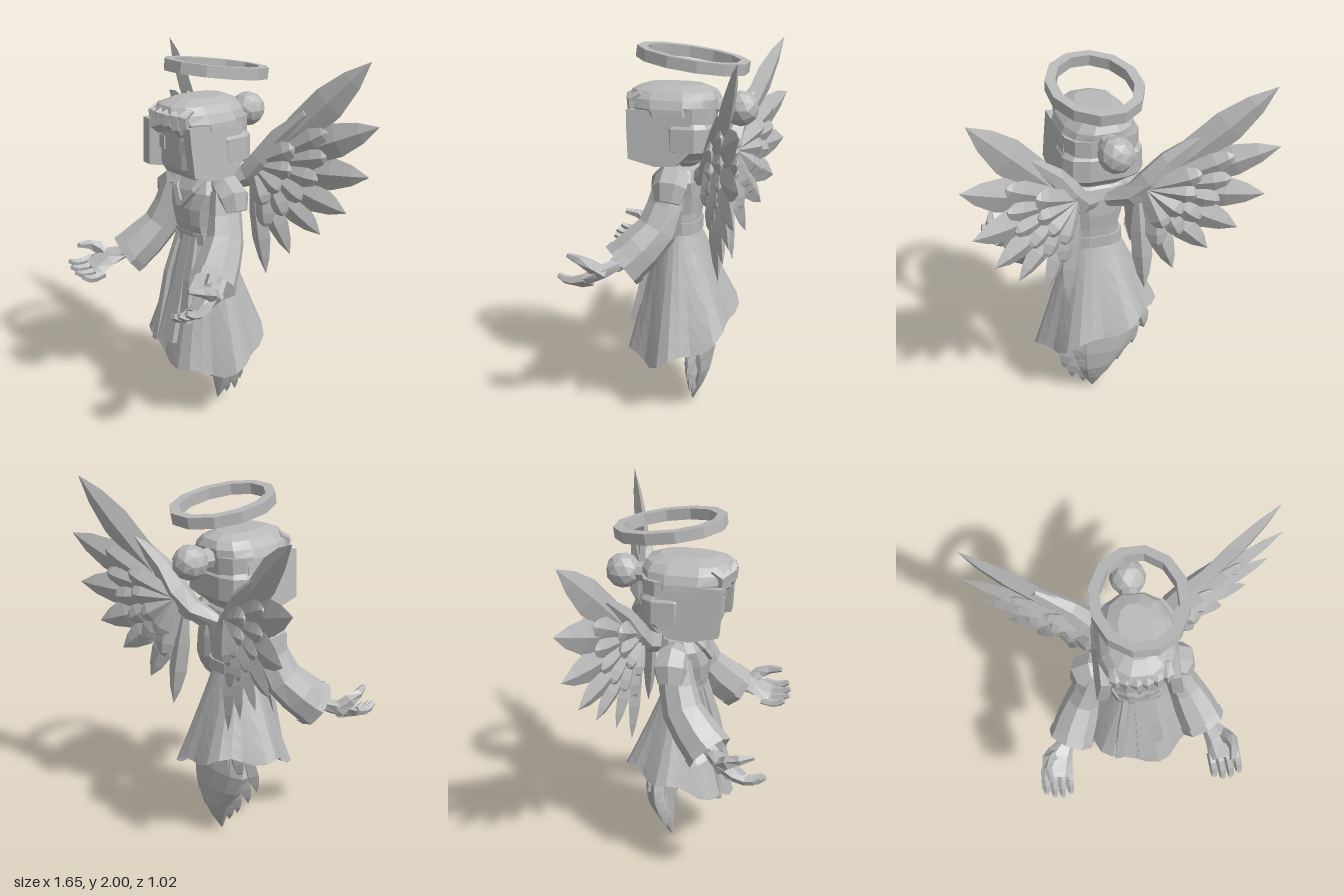
import * as THREE from 'three';

const stone = new THREE.MeshStandardMaterial({ color: 0xb8b8b8, flatShading: true, side: THREE.DoubleSide });
stone.name = 'stone grey';

const V = (x, y, z) => new THREE.Vector3(x, y, z);

function mesh(parent, name, geometry) {
  const m = new THREE.Mesh(geometry, stone);
  m.name = name;
  parent.add(m);
  return m;
}

// Skin a list of equal-sized vertex rings; corners are ordered so faces point outwards
function loft(rings, cap = true) {
  const n = rings[0].length, tris = [];
  for (let r = 0; r + 1 < rings.length; r++) for (let i = 0; i < n; i++) {
    const j = (i + 1) % n, a = rings[r][i], b = rings[r][j], c = rings[r + 1][i], d = rings[r + 1][j];
    tris.push([a, c, b], [b, c, d]);
  }
  const mean = ring => ring.reduce((s, p) => s.add(p), V(0, 0, 0)).divideScalar(ring.length);
  if (cap) [rings[0], rings[rings.length - 1]].forEach((ring, e) => {
    const m = mean(ring);
    for (let i = 0; i < n; i++) {
      const j = (i + 1) % n;
      tris.push(e ? [ring[j], ring[i], m] : [ring[i], ring[j], m]);
    }
  });
  const mid = mean(rings.flat());
  let volume = 0;
  for (const [a, b, c] of tris) volume += a.clone().sub(mid).dot(b.clone().sub(mid).cross(c.clone().sub(mid)));
  const pts = tris.flatMap(([a, b, c]) => (volume < 0 ? [a, c, b] : [a, b, c]));
  const g = new THREE.BufferGeometry().setFromPoints(pts);
  g.computeVertexNormals();
  return g;
}

// Horizontal rounded-box rings: rows of [y, cx, cz, rx, rz]
function stack(rows, n = 12, p = 0.65) {
  const pw = v => Math.sign(v) * Math.abs(v) ** p;
  return loft(rows.map(([y, cx, cz, rx, rz]) => Array.from({ length: n }, (_, i) => {
    const a = ((i + 0.5) / n) * Math.PI * 2;
    return V(cx + rx * pw(Math.cos(a)), y, cz + rz * pw(Math.sin(a)));
  })));
}

// Sweep an oval along points [x, y, z, halfWidth, halfThickness]; s mirrors x
function sweep(path, s = 1, n = 6, hint = [0, 0, 1], rot = 0, cap = true) {
  const pts = path.map(p => V(p[0] * s, p[1], p[2])), h = V(hint[0] * s, hint[1], hint[2]);
  return loft(path.map((p, k) => {
    const dir = pts[Math.min(k + 1, pts.length - 1)].clone().sub(pts[Math.max(k - 1, 0)]).normalize();
    const side = dir.clone().cross(h).normalize(), up = side.clone().cross(dir);
    return Array.from({ length: n }, (_, i) => {
      const a = (i / n) * Math.PI * 2 + rot;
      return pts[k].clone().addScaledVector(side, p[3] * Math.cos(a)).addScaledVector(up, (p[4] ?? p[3]) * Math.sin(a));
    });
  }), cap);
}

// Ridged feather from a to b; the outline lists [position, width] along its length
const POINTED = [[0, 0.5], [0.3, 0.95], [0.6, 1], [0.82, 0.62], [1, 0.01]];
const BLUNT = [[0, 0.5], [0.4, 0.85], [0.78, 1], [0.94, 0.65], [1, 0.2]];
function feather(a, b, w, thick, s, hint, outline = POINTED) {
  return sweep(outline.map(([t, k]) => [
    a[0] + (b[0] - a[0]) * t, a[1] + (b[1] - a[1]) * t, a[2] + (b[2] - a[2]) * t, w * k, thick * k]), s, 4, hint);
}

function makeWing(s) {
  const wing = new THREE.Group();
  wing.name = s > 0 ? 'leftWing' : 'rightWing';
  const at = (x, y, dz = 0) => [x, y, -0.22 - 0.4 * (x - 0.1) + dz], hint = [0.37, 0, 0.93];
  mesh(wing, 'wingArm', sweep([[0.06, 1.28, -0.13, 0.04], [0.16, 1.34, -0.22, 0.065],
    [0.24, 1.44, -0.265, 0.075], [0.31, 1.56, -0.295, 0.055], [0.46, 1.71, -0.35, 0.025]], s));
  const flight = [[0.27, 1.44, 0.765, 2.0, 0.092], [0.31, 1.45, 0.82, 1.68, 0.09], [0.31, 1.4, 0.775, 1.41, 0.09],
    [0.28, 1.36, 0.67, 1.2, 0.085], [0.25, 1.33, 0.54, 1.06, 0.075], [0.22, 1.32, 0.38, 0.92, 0.065], [0.19, 1.3, 0.25, 0.78, 0.055]];
  flight.forEach(([x, y, u, v, w]) =>
    mesh(wing, 'flightFeather', feather(at(x, y, 0.01), at(u, v, v < 1.5 ? -0.012 : 0), w, 0.035, s, hint)));
  // Two shorter rows, on both faces of the wing
  const coverts = [[0.59, 1.63], [0.59, 1.5], [0.55, 1.37], [0.47, 1.25], [0.38, 1.15], [0.28, 1.07]];
  const short = [[0.44, 1.53], [0.43, 1.41], [0.37, 1.29], [0.29, 1.2]];
  for (const f of [1, -1]) {
    for (const [u, v] of coverts)
      mesh(wing, 'covertFeather', feather(at(0.24, 1.42, 0.02 * f), at(u, v, 0.04 * f), 0.06, 0.028, s, hint, BLUNT));
    for (const [u, v] of short)
      mesh(wing, 'smallFeather', feather(at(0.2, 1.41, 0.035 * f), at(u, v, 0.065 * f), 0.06, 0.032, s, hint, BLUNT));
  }
  return wing;
}

function makeArm(s) {
  const arm = new THREE.Group();
  arm.name = s > 0 ? 'leftArm' : 'rightArm';
  mesh(arm, 'shoulderPuff', sweep([[0.13, 1.33, -0.03, 0.05], [0.2, 1.315, -0.035, 0.075, 0.09],
    [0.26, 1.27, -0.035, 0.08, 0.095], [0.29, 1.2, -0.03, 0.05, 0.07]], s, 7));
  mesh(arm, 'sleeve', sweep([[0.205, 1.3, -0.02, 0.06, 0.08], [0.235, 1.17, -0.005, 0.075, 0.1],
    [0.275, 1.05, 0.03, 0.09, 0.11], [0.32, 0.96, 0.105, 0.112, 0.12], [0.365, 0.875, 0.19, 0.122, 0.125]], s, 8, [0, 0.4, 1], 0.3, false));
  mesh(arm, 'cuff', sweep([[0.353, 0.892, 0.17, 0.126, 0.13], [0.372, 0.866, 0.2, 0.127, 0.13]], s, 8, [0, 0.4, 1], 0.3, false));
  mesh(arm, 'forearm', sweep([[0.28, 1.0, 0.04, 0.05], [0.4, 0.87, 0.23, 0.04]], s));
  const up = [-0.3, 1, 0.3];
  mesh(arm, 'palm', sweep([[0.39, 0.88, 0.21, 0.04, 0.035], [0.44, 0.85, 0.28, 0.075, 0.042],
    [0.465, 0.81, 0.36, 0.088, 0.032], [0.47, 0.8, 0.39, 0.08, 0.024]], s, 6, up));
  for (let i = 0; i < 4; i++) {
    const x = 0.398 + 0.043 * i, y = 0.765 + 0.02 * i, l = [0, 0.02, 0.02, 0.005][i];
    mesh(arm, 'finger', sweep([[x, y + 0.01, 0.35, 0.025], [x + 0.004, y - 0.005, 0.41, 0.024],
      [x + 0.004, y, 0.45 + l, 0.022], [x, y + 0.018, 0.485 + l, 0.015]], s, 5, up));
  }
  mesh(arm, 'thumb', sweep([[0.47, 0.85, 0.27, 0.045], [0.505, 0.9, 0.32, 0.037],
    [0.51, 0.925, 0.38, 0.027], [0.49, 0.94, 0.45, 0.015]], s, 5, up));
  return arm;
}

function makeHead() {
  const head = new THREE.Group();
  head.name = 'head';
  mesh(head, 'face', stack([[1.35, 0.02, -0.01, 0.09, 0.1], [1.385, 0.02, 0, 0.135, 0.165], [1.42, 0.02, 0, 0.15, 0.182],
    [1.58, 0.02, 0, 0.155, 0.185], [1.7, 0.02, 0, 0.15, 0.18]], 12, 0.5));
  mesh(head, 'hairCap', stack([[1.635, 0.015, -0.01, 0.21, 0.215], [1.67, 0.015, 0, 0.205, 0.235], [1.715, 0.015, 0.003, 0.185, 0.24],
    [1.753, 0.015, 0.005, 0.145, 0.22], [1.78, 0.015, 0, 0.085, 0.15]], 12, 0.75));
  mesh(head, 'backHair', stack([[1.4, 0.015, -0.08, 0.15, 0.1], [1.45, 0.015, -0.08, 0.2, 0.145], [1.68, 0.015, -0.07, 0.2, 0.165]]));
  mesh(head, 'hairBand', stack([[1.435, 0.015, -0.09, 0.2, 0.13], [1.455, 0.015, -0.09, 0.222, 0.15],
    [1.575, 0.015, -0.09, 0.217, 0.15], [1.6, 0.015, -0.09, 0.2, 0.13]]));
  // Side locks framing the face, splayed outwards at the bottom
  const lock = new THREE.Shape([[0.2, 1.405], [0.05, 1.37], [-0.06, 1.38], [-0.13, 1.45], [-0.13, 1.66], [0.215, 1.66], [0.21, 1.55]]
    .map(([z, y]) => new THREE.Vector2(-z, y - 1.66)));
  for (const s of [-1, 1]) {
    const m = mesh(head, 'sideLock', new THREE.ExtrudeGeometry(lock, { depth: 0.055, bevelEnabled: false })
      .rotateY(Math.PI / 2).translate(-0.0275, 0, 0));
    m.rotation.z = s * 0.1;
    m.position.set(0.015 + s * 0.168, 1.66, 0);
    const eye = mesh(head, 'eye', new THREE.BoxGeometry(0.065, 0.07, 0.008));
    eye.position.set(0.025 + s * 0.093, 1.545, 0.176);
    eye.rotation.y = s * 0.25;
  }
  // Curled fringe
  for (let i = 0; i < 6; i++) {
    const x = -0.11 + i * 0.05, c = Math.abs(i - 2.5) * 0.016;
    mesh(head, 'fringeCurl', sweep([[x, 1.735, 0.19 - c, 0.025], [x, 1.705, 0.24 - c, 0.035],
      [x + 0.004, 1.67 - c, 0.235 - c, 0.03], [x + 0.008, 1.63 - c, 0.205 - c, 0.014]], 1, 5, [1, 0, 0]));
  }
  mesh(head, 'bun', new THREE.IcosahedronGeometry(0.095, 1)).position.set(0.01, 1.66, -0.35);
  mesh(head, 'bunTie', sweep([[0.01, 1.66, -0.2, 0.06], [0.01, 1.66, -0.29, 0.05]], 1, 8, [0, 1, 0]));
  return head;
}

// Open flowing cone whose hem dips to the front and to the left
function makeSkirt() {
  const n = 30, rings = [0, 0.2, 0.45, 0.7, 0.88, 1].map(t => Array.from({ length: n }, (_, i) => {
    const a = (i / n) * Math.PI * 2, c = Math.cos(a), q = Math.sin(a);
    const fold = 1 + 0.07 * t * Math.sin(a * 6 + 0.8);
    const hem = 0.435 - 0.11 * c - 0.085 * q + 0.022 * Math.sin(a * 6 + 2.2), k = t ** 1.02;
    return V(0.025 + (0.135 + 0.195 * k) * c * fold, 1.01 + (hem - 1.01) * t, -0.03 - 0.02 * k + (0.105 + 0.182 * k) * q * fold);
  }));
  return loft(rings, false);
}

export function createModel() {
  const model = new THREE.Group();
  model.name = 'wingedFigure';

  // Halo: tilted oval ring with twelve sides
  const oval = (rx, rz) => Array.from({ length: 12 }, (_, i) => {
    const a = ((i + 0.5) / 12) * Math.PI * 2;
    return new THREE.Vector2(rx * Math.cos(a), rz * Math.sin(a));
  });
  const ring = new THREE.Shape(oval(0.243, 0.3));
  ring.holes.push(new THREE.Path(oval(0.19, 0.25)));
  const halo = mesh(model, 'halo', new THREE.ExtrudeGeometry(ring, { depth: 0.06, bevelEnabled: false }).translate(0, 0, -0.03));
  halo.rotation.x = -Math.PI / 2 - 0.14;
  halo.position.set(0.04, 1.914, -0.1);

  model.add(makeHead());
  mesh(model, 'neck', stack([[1.3, 0.01, -0.03, 0.06, 0.06], [1.42, 0.01, -0.03, 0.045, 0.045]], 8, 1));

  // Bodice, collar and belt
  mesh(model, 'bodice', stack([[1.0, 0.025, -0.03, 0.135, 0.105], [1.1, 0.025, -0.015, 0.13, 0.125], [1.19, 0.02, -0.015, 0.15, 0.133],
    [1.28, 0.02, -0.025, 0.18, 0.12], [1.34, 0.015, -0.035, 0.15, 0.095], [1.37, 0.01, -0.035, 0.08, 0.07]]));
  for (const s of [-1, 1])
    mesh(model, 'collar', sweep([[0.015, 1.2, 0.122, 0.02, 0.014], [0.015 + s * 0.075, 1.29, 0.095, 0.024, 0.016],
      [0.015 + s * 0.105, 1.37, 0.01, 0.026, 0.018], [0.015 + s * 0.06, 1.375, -0.1, 0.026, 0.018]], 1, 4, [0, 0.4, 1], Math.PI / 4));
  mesh(model, 'belt', stack([[0.99, 0.025, -0.028, 0.148, 0.118], [1.055, 0.025, -0.025, 0.145, 0.122]]));

  // Skirt with hanging sashes and front pleats
  mesh(model, 'skirt', makeSkirt());
  const sash = (x0, x1, y, z, w) => mesh(model, 'sash', sweep([[x0, 1.03, 0.08, w * 0.7, 0.016], [(x0 + x1) / 2, 0.8, 0.14, w * 0.85, 0.02],
    [x1, y, z, w, 0.024]], 1, 4, [0, 0.3, 1], Math.PI / 4));
  sash(0.025, 0.05, 0.45, 0.23, 0.06);
  sash(0.08, 0.125, 0.57, 0.18, 0.045);
  sash(-0.05, -0.11, 0.4, 0.2, 0.028);

  // Tapering feathered tail
  mesh(model, 'tail', stack([[0, 0.06, -0.11, 0.004, 0.004], [0.1, 0.06, -0.135, 0.06, 0.035], [0.2, 0.05, -0.155, 0.11, 0.055],
    [0.32, 0.02, -0.165, 0.17, 0.062], [0.44, 0, -0.165, 0.21, 0.06], [0.58, 0, -0.14, 0.17, 0.06]], 10, 0.9));
  const tips = [[-0.25, 0.36], [-0.18, 0.26], [-0.09, 0.16], [-0.02, 0.09], [0.12, 0.05], [0.19, 0.1], [0.235, 0.18], [0.25, 0.3]];
  for (const [x, y] of tips) {
    mesh(model, 'tailFeather', feather([x * 0.7, y + 0.24, -0.14], [x, y, -0.125], 0.055, 0.03, 1, [0, 0, 1]));
    mesh(model, 'tailFeather', feather([x * 0.5, y + 0.3, -0.19], [x * 0.7, y + 0.07, -0.18], 0.055, 0.025, 1, [0, 0, 1]));
  }

  // Arms and wings; the right side sits a little lower
  const rightArm = makeArm(-1), rightWing = makeWing(-1);
  rightArm.position.y = -0.035;
  rightWing.position.set(0.135, 0, 0);
  rightWing.rotation.set(0, 0.057, 0.07);
  model.add(makeArm(1), rightArm, makeWing(1), rightWing);
  return model;
}
